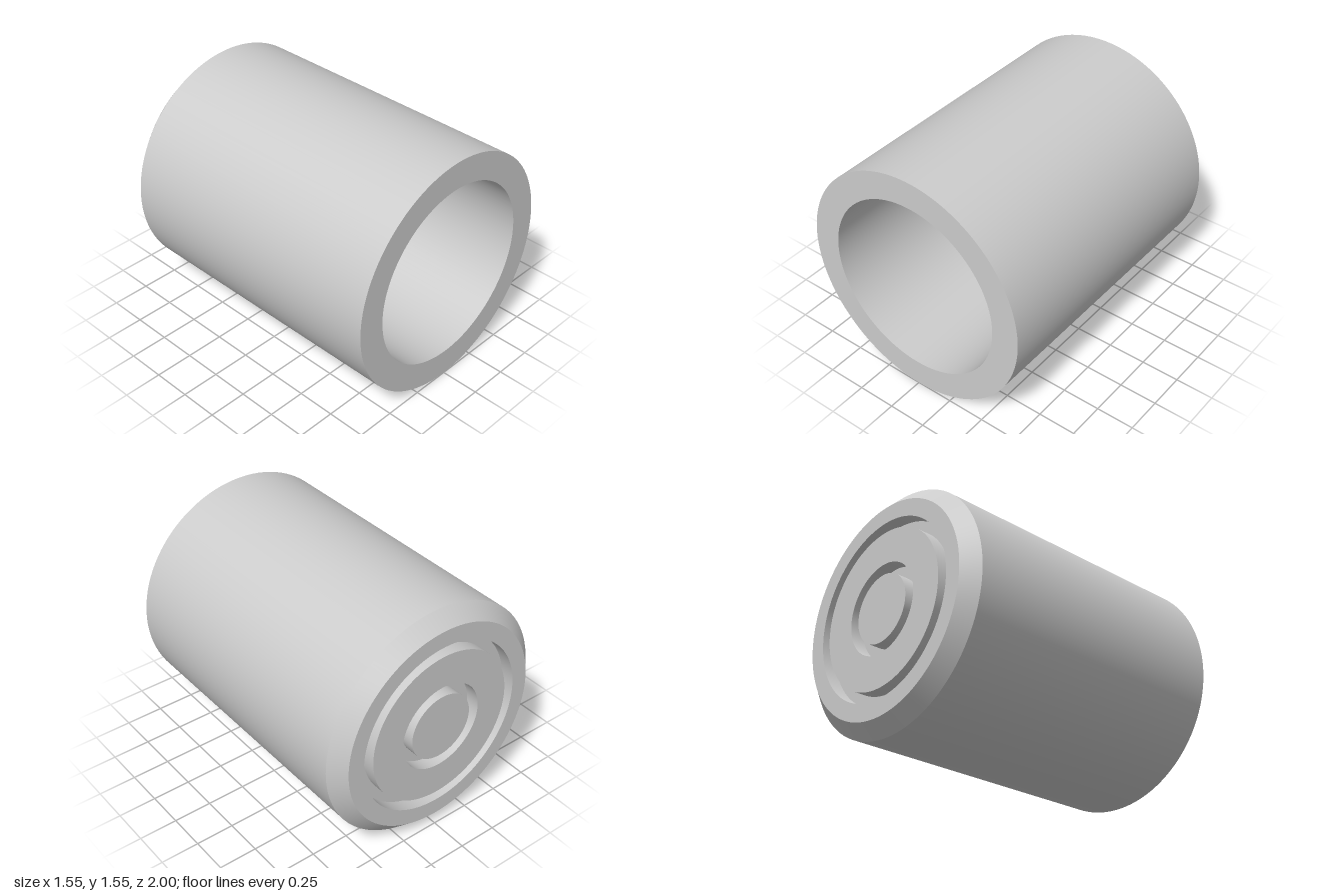
import * as THREE from 'three';
import { toCreasedNormals } from 'three/addons/utils/BufferGeometryUtils.js';

const R = 0.775;        // outer radius
const BORE = 0.595;     // inner radius
const CHAMFER = 0.09;
const GROOVE = 0.09;    // depth of the ring grooves in the closed end
const BACK = -1, FRONT = 1, FLOOR = -0.82;

export function createModel() {
  const group = new THREE.Group();
  const metal = new THREE.MeshStandardMaterial({ color: 0xcccccc });
  metal.name = 'plain grey';

  // Turned part: profile of [radius, z], sharp corners kept
  const turn = (name, profile) => {
    const points = profile.map(([r, z]) => new THREE.Vector2(r, z));
    const geometry = new THREE.LatheGeometry(points, 128).rotateX(Math.PI / 2);
    const mesh = new THREE.Mesh(toCreasedNormals(geometry, 0.5), metal);
    mesh.name = name;
    mesh.position.y = R;
    group.add(mesh);
  };

  // Closed end: flush disc and ring separated by two grooves
  const bottom = BACK + GROOVE;
  turn('groovedEnd', [
    [0, BACK], [0.22, BACK], [0.22, bottom], [0.29, bottom], [0.29, BACK],
    [0.508, BACK], [0.508, bottom], [0.575, bottom], [0.575, BACK], [R - CHAMFER, BACK],
  ]);

  // Chamfered outer wall and flat front rim
  turn('outerWall', [[R - CHAMFER, BACK], [R, BACK + CHAMFER], [R, FRONT], [BORE, FRONT]]);

  // Open bore with a flat floor
  turn('bore', [[BORE, FRONT], [BORE, FLOOR], [0, FLOOR]]);

  return group;
}
